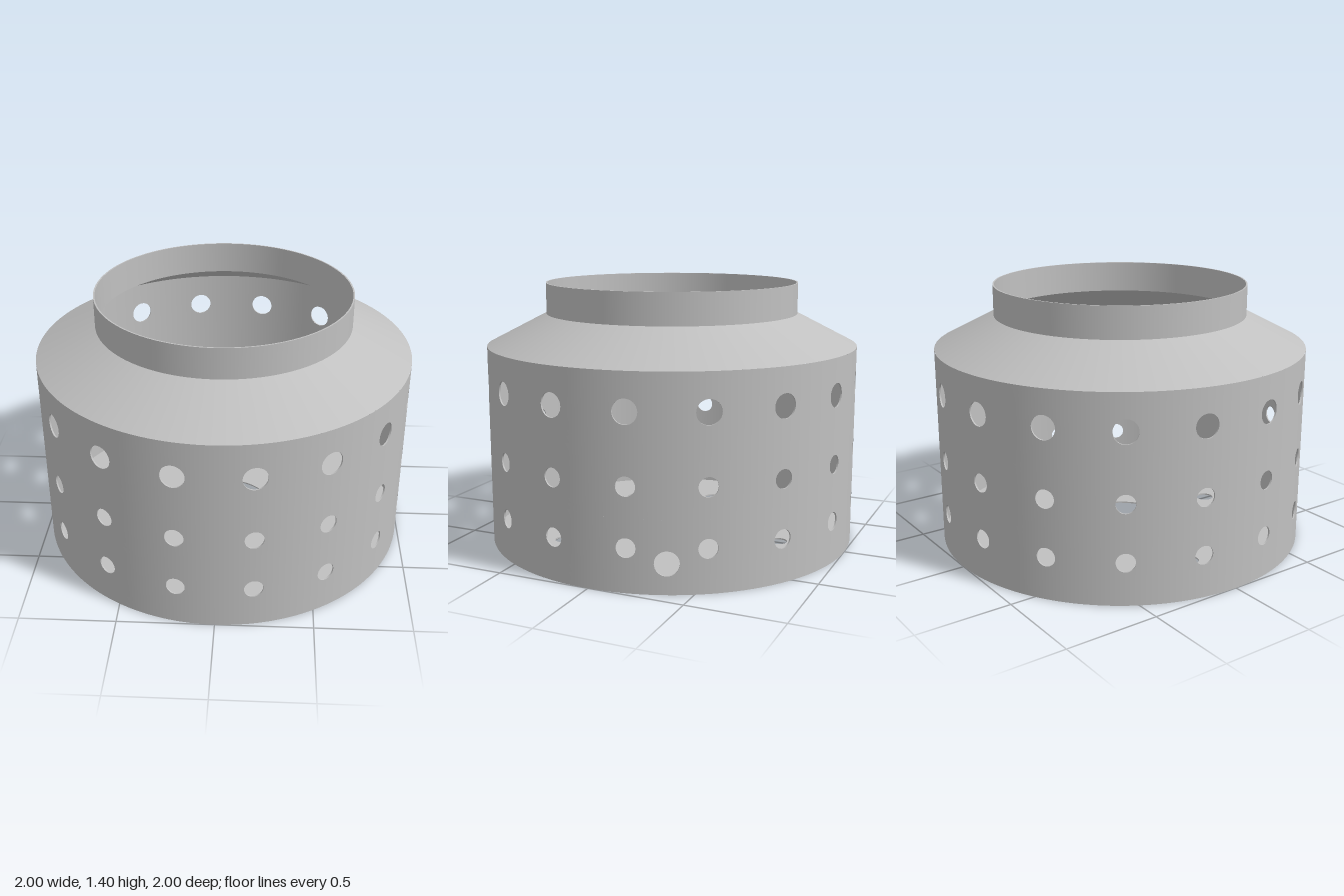
import * as THREE from 'three';
import { mergeGeometries } from 'three/addons/utils/BufferGeometryUtils.js';

const T = 0.008; // sheet thickness
const R = 1, COLLAR_R = 0.68;
const WALL_TOP = 1.07, SHOULDER_TOP = 1.235, TOP = 1.4;
const DEG = Math.PI / 180;

// One curved wall panel (angles in degrees) with a round hole, thin but solid.
function holedPanel(a0, a1, y0, y1, aHole, yHole, rHole) {
  const perSide = 10, rings = 5, n = perSide * 4;
  const pos = [], nor = [], idx = [];
  const add = (u, y, r, nx, ny, nz) => {
    pos.push(Math.sin(u) * r, y, Math.cos(u) * r);
    nor.push(nx, ny, nz);
  };
  // Unrolled panel: corners counter-clockwise
  const corners = [[a0, y0], [a1, y0], [a1, y1], [a0, y1]].map(([a, y]) => [a * DEG * R, y]);
  const cu = aHole * DEG * R;
  const border = [];
  for (let k = 0; k <= n; k++) {
    const side = Math.floor(k / perSide) % 4, t = (k % perSide) / perSide;
    const p = corners[side], q = corners[(side + 1) % 4];
    border.push([p[0] + (q[0] - p[0]) * t, p[1] + (q[1] - p[1]) * t]);
  }
  // Outer and inner faces, stepping from hole edge to border
  for (const s of [1, -1]) {
    const base = pos.length / 3;
    for (const [bu, by] of border) {
      const dir = Math.atan2(by - yHole, bu - cu);
      const hu = cu + Math.cos(dir) * rHole, hy = yHole + Math.sin(dir) * rHole;
      for (let i = 0; i <= rings; i++) {
        const u = (hu + (bu - hu) * i / rings) / R, y = hy + (by - hy) * i / rings;
        add(u, y, s > 0 ? R : R - T, s * Math.sin(u), 0, s * Math.cos(u));
      }
    }
    for (let k = 0; k < n; k++) for (let i = 0; i < rings; i++) {
      const a = base + k * (rings + 1) + i, b = a + 1, d = a + rings + 1, c = d + 1;
      if (s > 0) idx.push(a, b, c, a, c, d);
      else idx.push(a, c, b, a, d, c);
    }
  }
  // Hole rim
  const base = pos.length / 3;
  for (const [bu, by] of border) {
    const dir = Math.atan2(by - yHole, bu - cu);
    const u = (cu + Math.cos(dir) * rHole) / R, y = yHole + Math.sin(dir) * rHole;
    const m = -Math.cos(dir);
    for (const r of [R, R - T]) add(u, y, r, m * Math.cos(u), -Math.sin(dir), -m * Math.sin(u));
  }
  for (let k = 0; k < n; k++) {
    const o = base + k * 2;
    idx.push(o, o + 2, o + 1, o + 1, o + 2, o + 3);
  }
  const g = new THREE.BufferGeometry();
  g.setAttribute('position', new THREE.Float32BufferAttribute(pos, 3));
  g.setAttribute('normal', new THREE.Float32BufferAttribute(nor, 3));
  g.setIndex(idx);
  return g;
}

// Revolved surface with a sharp edge at every profile point
function sharpLathe(points) {
  const parts = [];
  for (let i = 0; i < points.length - 1; i++) {
    const pair = [points[i], points[i + 1]].map(([r, y]) => new THREE.Vector2(r, y));
    parts.push(new THREE.LatheGeometry(pair, 128));
  }
  return mergeGeometries(parts);
}

export function createModel() {
  const model = new THREE.Group();
  model.name = 'perforatedCanister';
  const metal = new THREE.MeshStandardMaterial({ color: 0xc0c0c0 });
  metal.name = 'grey metal';
  const part = (name, geometry) => {
    const mesh = new THREE.Mesh(geometry, metal);
    mesh.name = name;
    model.add(mesh);
    return mesh;
  };

  // Cylindrical wall: three rows of sixteen holes, plus one extra side hole
  const rows = [
    { y0: 0, y1: 0.37, y: 0.225, r: 0.049 },
    { y0: 0.37, y1: 0.69, y: 0.525, r: 0.049 },
    { y0: 0.69, y1: WALL_TOP, y: 0.88, r: 0.062 },
  ];
  const step = 22.5, extra = 112.5, extraHalf = 6.2;
  rows.forEach((row, j) => {
    const panels = [];
    for (let k = 0; k < 16; k++) {
      let a0 = k * step, a1 = a0 + step;
      const centre = a0 + step / 2;
      if (j === 0 && a1 === extra) a1 -= extraHalf;
      if (j === 0 && a0 === extra) a0 += extraHalf;
      panels.push(holedPanel(a0, a1, row.y0, row.y1, centre, row.y, row.r));
    }
    if (j === 0) {
      panels.push(holedPanel(extra - extraHalf, extra + extraHalf, row.y0, row.y1, extra, 0.155, 0.062));
    }
    part('wallRow' + (j + 1), mergeGeometries(panels));
  });

  // Sloping shoulder, outside and underside
  const shoulder = mergeGeometries([
    sharpLathe([[R, WALL_TOP], [COLLAR_R, SHOULDER_TOP]]),
    sharpLathe([[COLLAR_R - T, SHOULDER_TOP - 0.006], [R - T, WALL_TOP - 0.004]]),
  ]);
  part('shoulder', shoulder);

  // Upright collar, open at the top
  part('collar', sharpLathe([
    [COLLAR_R, SHOULDER_TOP], [COLLAR_R, TOP], [COLLAR_R - T, TOP], [COLLAR_R - T, SHOULDER_TOP - 0.006],
  ]));

  // Floor plate: large centre opening and a ring of eight holes
  const disc = new THREE.Shape().absarc(0, 0, R - 0.001, 0, Math.PI * 2, false);
  const punch = (x, y, r) => disc.holes.push(new THREE.Path().absarc(x, y, r, 0, Math.PI * 2, true));
  punch(0, 0, 0.287);
  for (let i = 0; i < 8; i++) {
    const a = i * Math.PI / 4;
    punch(Math.cos(a) * 0.633, Math.sin(a) * 0.633, 0.05);
  }
  const floor = new THREE.ExtrudeGeometry(disc, { depth: T, bevelEnabled: false, curveSegments: 64 });
  floor.rotateX(-Math.PI / 2);
  part('floor', floor);

  return model;
}
